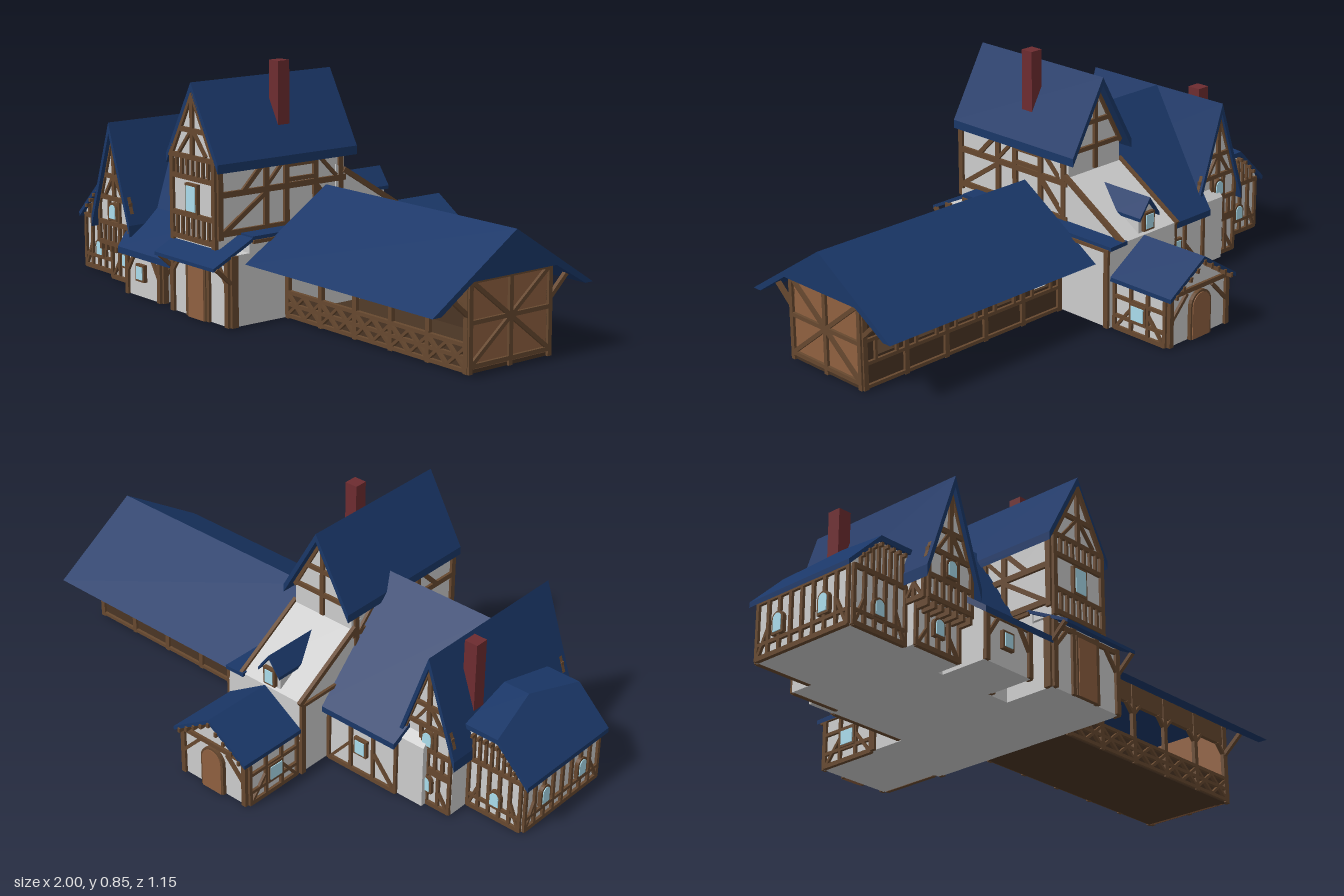
import * as THREE from 'three';

const mat = (color) => new THREE.MeshStandardMaterial({ color, flatShading: true, roughness: 1 });

export function createModel() {
  const root = new THREE.Group();
  root.name = 'timberFramedInn';
  const wall = mat(0xcccccc), roofBlue = mat(0x1a3768), timber = mat(0x66482f);
  const plank = mat(0x8f6040), glass = mat(0xaadcec), brick = mat(0x6d2c30), dark = mat(0x4a3524);

  const add = (name, geo, material, parent = root) => {
    const m = new THREE.Mesh(geo, material);
    m.name = name;
    parent.add(m);
    return m;
  };
  const box = (name, material, x0, x1, y0, y1, z0, z1) =>
    add(name, new THREE.BoxGeometry(x1 - x0, y1 - y0, z1 - z0), material)
      .position.set((x0 + x1) / 2, (y0 + y1) / 2, (z0 + z1) / 2);
  const shapeOf = (pts) => new THREE.Shape(pts.map(([x, y]) => new THREE.Vector2(x, y)));

  // Solid from an end profile: (x, y) run along z, or (z, y) run along x
  const solid = (name, material, axis, pts, a, b) => {
    const geo = new THREE.ExtrudeGeometry(shapeOf(pts), { depth: b - a, bevelEnabled: false });
    if (axis === 'z') geo.translate(0, 0, a);
    else geo.rotateY(-Math.PI / 2).translate(b, 0, 0);
    return add(name, geo, material);
  };

  // Roof slab: a flat polygon thickened straight down
  const slab = (name, pts, t = 0.022) => {
    let p = pts.map((c) => new THREE.Vector3(...c));
    const n = p[1].clone().sub(p[0]).cross(p[2].clone().sub(p[0]));
    if (n.y < 0) p.reverse();
    const low = p.map((v) => v.clone().setY(v.y - t)), tri = [];
    for (let i = 1; i < p.length - 1; i++) tri.push(p[0], p[i], p[i + 1], low[0], low[i + 1], low[i]);
    p.forEach((v, i) => {
      const j = (i + 1) % p.length;
      tri.push(v, low[i], low[j], v, low[j], p[j]);
    });
    const geo = new THREE.BufferGeometry().setFromPoints(tri);
    geo.computeVertexNormals();
    return add(name, geo, roofBlue);
  };
  // Pair of slabs with the ridge along z
  const gableRoof = (name, xl, xm, xr, eave, ridge, z0, z1, t) => [xl, xr].forEach((x) =>
    slab(name, [[xm, ridge, z0], [xm, ridge, z1], [x, eave, z1], [x, eave, z0]], t));

  // Wall plane for timbers; u is the world x or z coordinate, v the height
  const facade = (name, side, d) => {
    const g = new THREE.Group();
    g.name = name;
    root.add(g);
    const turn = { front: 0, left: Math.PI / 2, back: Math.PI, right: -Math.PI / 2 }[side];
    g.rotation.y = turn;
    if (side === 'front' || side === 'back') g.position.z = d; else g.position.x = d;
    const s = side === 'front' || side === 'right' ? 1 : -1;
    const f = {};
    f.beam = (u0, v0, u1, v1, w = 0.016) => {
      const du = (u1 - u0) * s, dv = v1 - v0;
      const m = add('beam', new THREE.BoxGeometry(Math.hypot(du, dv), w, 0.014), timber, g);
      m.position.set(s * (u0 + u1) / 2, (v0 + v1) / 2, 0.003);
      m.rotation.z = Math.atan2(dv, du);
    };
    f.studs = (u0, u1, n, v0, v1, w = 0.01) => {
      for (let i = 0; i <= n; i++) f.beam(u0 + (u1 - u0) * i / n, v0, u0 + (u1 - u0) * i / n, v1, w);
    };
    f.cross = (u0, u1, v0, v1, w = 0.01) => {
      f.beam(u0, v0, u1, v1, w);
      f.beam(u0, v1, u1, v0, w);
    };
    // Framed panel with braces in its end bays
    f.panel = (u0, u1, v0, v1, n, brace = true) => {
      f.studs(u0, u1, n, v0, v1, 0.012);
      f.beam(u0, v0 + 0.006, u1, v0 + 0.006);
      f.beam(u0, v1 - 0.006, u1, v1 - 0.006);
      if (!brace) return;
      const b = (u1 - u0) / n;
      f.beam(u0, v0, u0 + b, (v0 + v1) / 2, 0.01);
      f.beam(u1, v0, u1 - b, (v0 + v1) / 2, 0.01);
    };
    // Window or door: framed leaf, optionally round-headed
    f.opening = (kind, u, v, w, h, arch = false) => {
      [[0.008, 0.014, timber, 'Frame'], [0, 0.017, kind === 'door' ? plank : glass, '']].forEach(([e, depth, m, tag]) => {
        const r = w / 2 + e, base = kind === 'door' ? 0 : -e, sh = new THREE.Shape();
        sh.moveTo(-r, base).lineTo(r, base);
        if (arch) sh.lineTo(r, h - w / 2).absarc(0, h - w / 2, r, 0, Math.PI, false);
        else sh.lineTo(r, h + e).lineTo(-r, h + e);
        add(kind + tag, new THREE.ExtrudeGeometry(sh, { depth, bevelEnabled: false, curveSegments: 6 }), m, g)
          .position.set(s * u, v, 0);
      });
    };
    return f;
  };
  const rakes = (f, ul, um, ur, eave, ridge) => {
    f.beam(ul, eave, um, ridge);
    f.beam(ur, eave, um, ridge);
  };

  // Central tower over its wider ground floor
  solid('towerWalls', wall, 'z', [[-0.23, 0.25], [0.02, 0.25], [0.02, 0.54], [-0.105, 0.765], [-0.23, 0.54]], -0.04, 0.5);
  gableRoof('towerRoof', -0.25, -0.105, 0.04, 0.535, 0.79, -0.08, 0.51, 0.03);
  box('groundFloor', wall, -0.235, 0.09, 0, 0.24, -0.3, 0.5);
  box('groundFloorTop', wall, -0.235, 0.09, 0.24, 0.28, -0.3, 0.42);
  slab('porchRoof', [[-0.24, 0.21, 0.57], [0.095, 0.21, 0.57], [0.095, 0.295, 0.4], [-0.24, 0.295, 0.4]], 0.012);
  slab('sideRoof', [[0.015, 0.297, -0.31], [0.015, 0.297, 0.41], [0.095, 0.295, 0.41], [0.095, 0.295, -0.31]], 0.014);
  let f = facade('towerFront', 'front', 0.5);
  f.studs(-0.222, 0.012, 1, 0.25, 0.54, 0.018);
  [0.265, 0.345, 0.47, 0.54].forEach((y) => f.beam(-0.23, y, 0.02, y));
  f.beam(-0.18, 0.63, -0.03, 0.63);
  f.studs(-0.222, 0.012, 8, 0.47, 0.54);
  f.studs(-0.222, 0.012, 8, 0.265, 0.345);
  f.beam(-0.105, 0.54, -0.105, 0.75);
  f.beam(-0.18, 0.55, -0.11, 0.63, 0.01);
  f.beam(-0.03, 0.55, -0.1, 0.63, 0.01);
  rakes(f, -0.23, -0.105, 0.02, 0.53, 0.755);
  f.opening('window', -0.105, 0.36, 0.05, 0.085);
  f = facade('porchFront', 'front', 0.5);
  [-0.226, -0.135, -0.025, 0.08].forEach((x) => f.beam(x, 0, x, 0.24, 0.02));
  f.beam(-0.235, 0.215, 0.09, 0.215);
  [[-0.226, -0.17], [0.08, 0.025]].forEach(([a, b]) => f.beam(a, 0.14, b, 0.21, 0.012));
  f.opening('door', -0.08, 0, 0.085, 0.2);
  ['left', 'right'].forEach((side, i) => {
    f = facade('towerSide', side, i ? -0.23 : 0.02);
    [0.3, 0.43, 0.53].forEach((y) => f.beam(-0.04, y, 0.5, y, 0.02));
    [0.49, 0.3, 0.215, 0.09, -0.02].forEach((z) => f.beam(z, 0.28, z, 0.54, 0.02));
    [0.45, 0.5].forEach((y) => f.beam(0.09, y, 0.215, y, 0.014));
    f.beam(0.48, 0.3, 0.3, 0.42);
    f.beam(0.4, 0.43, 0.3, 0.53);
    f.beam(0.3, 0.44, 0.215, 0.53, 0.012);
    f.beam(0.0, 0.44, 0.09, 0.53, 0.012);
    f.beam(-0.02, 0.31, 0.09, 0.42);
    f = facade('groundFloorSide', side, i ? -0.235 : 0.09);
    f.beam(0.487, 0, 0.487, 0.24, 0.026);
    f.beam(-0.29, 0, -0.29, 0.28, 0.02);
    f.beam(-0.3, 0.277, 0.41, 0.277, 0.012);
    f.beam(0.56, 0.205, 0.5, 0.15, 0.012);
  });
  f = facade('towerBack', 'back', -0.04);
  f.beam(-0.23, 0.54, 0.02, 0.54);
  f.beam(-0.18, 0.63, -0.03, 0.63);
  f.beam(-0.105, 0.46, -0.105, 0.75);
  rakes(f, -0.23, -0.105, 0.02, 0.53, 0.755);

  // Pale rear slope with edge beams and a small dormer
  solid('rearSlope', wall, 'x', [[0, 0.2], [0, 0.478], [-0.3, 0.29], [-0.3, 0.2]], -0.235, 0.025);
  ['left', 'right'].forEach((side, i) => {
    f = facade('slopeEdge', side, i ? -0.235 : 0.025);
    f.beam(-0.03, 0.458, -0.305, 0.287, 0.018);
  });
  solid('dormerWalls', wall, 'z', [[-0.14, 0.28], [-0.06, 0.28], [-0.06, 0.355], [-0.1, 0.405], [-0.14, 0.355]], -0.29, -0.12);
  [-0.148, -0.052].forEach((x) => slab('dormerRoof',
    [[-0.1, 0.42, -0.305], [-0.1, 0.42, -0.09], [x, 0.355, -0.19], [x, 0.355, -0.305]], 0.012));
  facade('dormerBack', 'back', -0.29).opening('window', -0.1, 0.31, 0.035, 0.05);

  // Middle range: ridge along x, lean-to in front
  solid('middleWalls', wall, 'x', [[-0.16, 0], [0.31, 0], [0.31, 0.31], [0.165, 0.56], [-0.16, 0.235]], -0.65, -0.2);
  solid('leanToWalls', wall, 'x', [[0.3, 0], [0.485, 0], [0.485, 0.172], [0.3, 0.29]], -0.53, -0.32);
  [[[0.165, 0.585], [0.345, 0.28]], [[0.345, 0.28], [0.51, 0.165]], [[0.165, 0.585], [-0.19, 0.22]]].forEach(([a, b]) =>
    slab('middleRoof', [[-0.65, a[1], a[0]], [-0.21, a[1], a[0]],
      [b[0] > 0.4 ? -0.24 : -0.21, b[1], b[0]], [b[0] === 0.345 ? -0.65 : -0.55, b[1], b[0]]]));
  f = facade('leanToFront', 'front', 0.485);
  f.studs(-0.522, -0.328, 1, 0, 0.17, 0.018);
  f.beam(-0.53, 0.16, -0.32, 0.16);
  f.beam(-0.522, 0.08, -0.47, 0.16, 0.012);
  f.beam(-0.328, 0.08, -0.38, 0.16, 0.012);
  f.opening('window', -0.435, 0.065, 0.035, 0.045);
  f = facade('leanToSide', 'left', -0.32);
  f.beam(0.475, 0, 0.475, 0.17, 0.02);
  f.beam(0.32, 0, 0.32, 0.26);
  f.beam(0.475, 0.09, 0.4, 0.2, 0.012);
  f = facade('middleBack', 'back', -0.16);
  f.panel(-0.54, -0.245, 0, 0.23, 3);
  f.opening('window', -0.39, 0.09, 0.04, 0.05);

  // Cross gable with a jettied upper storey
  solid('crossGableWalls', wall, 'z', [[-0.75, 0.14], [-0.55, 0.14], [-0.55, 0.275], [-0.65, 0.565], [-0.75, 0.275]], -0.13, 0.45);
  box('crossGableGroundFloor', wall, -0.75, -0.55, 0, 0.14, -0.13, 0.4);
  gableRoof('crossGableRoof', -0.77, -0.65, -0.53, 0.235, 0.585, -0.15, 0.475, 0.04);
  [['front', 0.45, 0.4], ['back', -0.13, -0.13]].forEach(([side, up, low]) => {
    f = facade('crossGable', side, up);
    f.panel(-0.743, -0.557, 0.14, 0.225, 6, false);
    [0.31, 0.39].forEach((y, i) => f.beam(-0.735 + i * 0.03, y, -0.565 - i * 0.03, y));
    f.studs(-0.743, -0.557, 3, 0.225, 0.31, 0.012);
    f.beam(-0.65, 0.31, -0.65, 0.55);
    f.beam(-0.71, 0.31, -0.655, 0.39, 0.01);
    f.beam(-0.59, 0.31, -0.645, 0.39, 0.01);
    rakes(f, -0.75, -0.65, -0.55, 0.27, 0.555);
    f.opening('window', -0.65, 0.24, 0.034, 0.05, true);
    f = facade('crossGableBase', side, low);
    f.panel(-0.743, -0.557, 0, 0.14, 4);
    f.opening('window', -0.65, 0.06, 0.034, 0.05, true);
  });
  for (let i = 0; i < 7; i++) box('jettyBracket', timber, -0.748 + i * 0.031, -0.736 + i * 0.031, 0.115, 0.145, 0.4, 0.455);
  facade('crossGableEast', 'left', -0.55).panel(0.3, 0.445, 0.14, 0.26, 3);
  facade('crossGableWest', 'right', -0.75).panel(0.365, 0.445, 0.14, 0.26, 2);

  // Low west wing with a half-hipped roof
  solid('westWingWalls', wall, 'z', [[-0.975, 0], [-0.74, 0], [-0.74, 0.312], [-0.87, 0.312], [-0.975, 0.208]], -0.045, 0.365);
  slab('westWingRoof', [[-0.825, 0.37, 0.16], [-0.87, 0.326, 0.38], [-1, 0.2, 0.38], [-1, 0.2, -0.06], [-0.87, 0.326, -0.06]], 0.018);
  [0.38, -0.06].forEach((z) =>
    slab('westWingRoof', [[-0.825, 0.37, 0.16], [-0.7, 0.37, 0.16], [-0.7, 0.326, z], [-0.87, 0.326, z]], 0.018));
  [['front', 0.365], ['back', -0.045]].forEach(([side, z]) => {
    f = facade('westWingEnd', side, z);
    f.panel(-0.968, -0.755, 0, 0.2, 5);
    f.beam(-0.968, 0.05, -0.755, 0.05, 0.012);
    for (let i = 1; i < 9; i++) {
      const x = -0.968 + i * 0.0245, y = Math.min(0.3, 0.208 + (x + 0.975) * 0.95);
      f.beam(x, 0.2, x, y, 0.01);
      box('rafterEnd', timber, x - 0.005, x + 0.005, y - 0.012, y, side === 'front' ? 0.365 : -0.068, side === 'front' ? 0.388 : -0.045);
    }
    f.opening('window', -0.87, 0.06, 0.034, 0.05, true);
  });
  f = facade('westWingSide', 'right', -0.975);
  f.panel(-0.038, 0.358, 0, 0.2, 8);
  f.beam(-0.038, 0.05, 0.358, 0.05, 0.012);
  [0.06, 0.26].forEach((z) => f.opening('window', z, 0.07, 0.034, 0.06, true));

  // Rear annexe
  solid('annexeWalls', wall, 'z', [[-0.225, 0], [0.07, 0], [0.07, 0.185], [-0.078, 0.28], [-0.225, 0.185]], -0.545, -0.29);
  gableRoof('annexeRoof', -0.24, -0.078, 0.087, 0.185, 0.29, -0.57, -0.3, 0.015);
  ['left', 'right'].forEach((side, i) => {
    f = facade('annexeSide', side, i ? -0.225 : 0.07);
    f.panel(-0.535, -0.31, 0, 0.185, 3);
    [0.05, 0.12].forEach((y) => f.beam(-0.535, y, -0.31, y, 0.012));
    f.opening('window', -0.42, 0.06, 0.055, 0.05);
  });
  f = facade('annexeBack', 'back', -0.545);
  f.studs(-0.217, 0.062, 1, 0, 0.185, 0.018);
  f.beam(-0.22, 0.18, 0.065, 0.18);
  rakes(f, -0.225, -0.078, 0.07, 0.18, 0.272);
  f.beam(-0.217, 0.09, -0.14, 0.17, 0.012);
  f.beam(0.062, 0.09, -0.015, 0.17, 0.012);
  f.opening('door', -0.078, 0, 0.085, 0.16, true);
  for (let i = -4; i <= 4; i++) {
    const x = -0.078 + i * 0.034, y = 0.27 - Math.abs(i) * 0.0215;
    box('rafterEnd', timber, x - 0.005, x + 0.005, y - 0.008, y + 0.008, -0.576, -0.54);
  }

  // Long stable: floor, pierced back wall, open front, boarded end
  solid('stableRoof', roofBlue, 'x', [[0.44, 0.205], [0.405, 0.205], [0.275, 0.292], [-0.075, 0.292],
    [-0.205, 0.215], [-0.238, 0.215], [0.098, 0.43]], 0.092, 1);
  box('stableFloor', dark, 0.09, 0.975, 0, 0.012, -0.07, 0.27);
  const back = shapeOf([[0.09, 0], [0.975, 0], [0.975, 0.293], [0.09, 0.293]]);
  const bays = [0.19, 0.363, 0.537, 0.71, 0.88], posts = [0.105, 0.278, 0.451, 0.624, 0.797, 0.968];
  bays.forEach((x) => back.holes.push(new THREE.Path([[-1, 0], [-1, 1], [1, 1], [1, 0]].map(([sx, t]) =>
    new THREE.Vector2(x + sx * 0.038, 0.104 + t * 0.05)))));
  add('stableBackWall', new THREE.ExtrudeGeometry(back, { depth: 0.012, bevelEnabled: false }), dark).position.z = -0.072;
  f = facade('stableBackTimbers', 'back', -0.072);
  posts.forEach((x) => f.beam(x, 0, x, 0.29, 0.018));
  [0.01, 0.09, 0.168, 0.28].forEach((y) => f.beam(0.1, y, 0.975, y, 0.012));
  bays.forEach((x) => f.studs(x - 0.044, x + 0.044, 1, 0.096, 0.162));
  box('stableFrontBoards', dark, 0.1, 0.97, 0, 0.085, 0.258, 0.266);
  box('stableHeader', timber, 0.09, 0.975, 0.22, 0.293, 0.258, 0.274);
  f = facade('stableFrontTimbers', 'front', 0.268);
  posts.forEach((x, i) => {
    f.beam(x, 0, x, 0.29, 0.018);
    if (i === 5) return;
    const n = posts[i + 1];
    [0.01, 0.05, 0.09].forEach((y) => f.beam(x, y, n, y, 0.012));
    f.cross(x, (x + n) / 2, 0.012, 0.085);
    f.cross((x + n) / 2, n, 0.012, 0.085);
    f.beam(x, 0.18, x + 0.035, 0.22, 0.01);
    f.beam(n, 0.18, n - 0.035, 0.22, 0.01);
  });
  box('stableEndBoards', plank, 0.962, 0.974, 0, 0.293, -0.072, 0.272);
  f = facade('stableEndTimbers', 'left', 0.974);
  f.studs(-0.068, 0.268, 2, 0, 0.293, 0.016);
  [0.024, 0.16, 0.288].forEach((y) => f.beam(-0.07, y, 0.27, y, 0.014));
  f.cross(-0.06, 0.26, 0.03, 0.285, 0.014);
  [0.11, 0.968].forEach((x) => {
    f = facade('eaveBrace', 'left', x);
    f.beam(0.27, 0.18, 0.35, 0.25, 0.014);
    f.beam(-0.07, 0.18, -0.15, 0.255, 0.014);
  });

  // Chimneys
  box('westChimney', brick, -0.732, -0.682, 0.25, 0.6, -0.01, 0.04);
  box('towerChimney', brick, -0.062, -0.014, 0.58, 0.845, 0.17, 0.218);
  return root;
}
